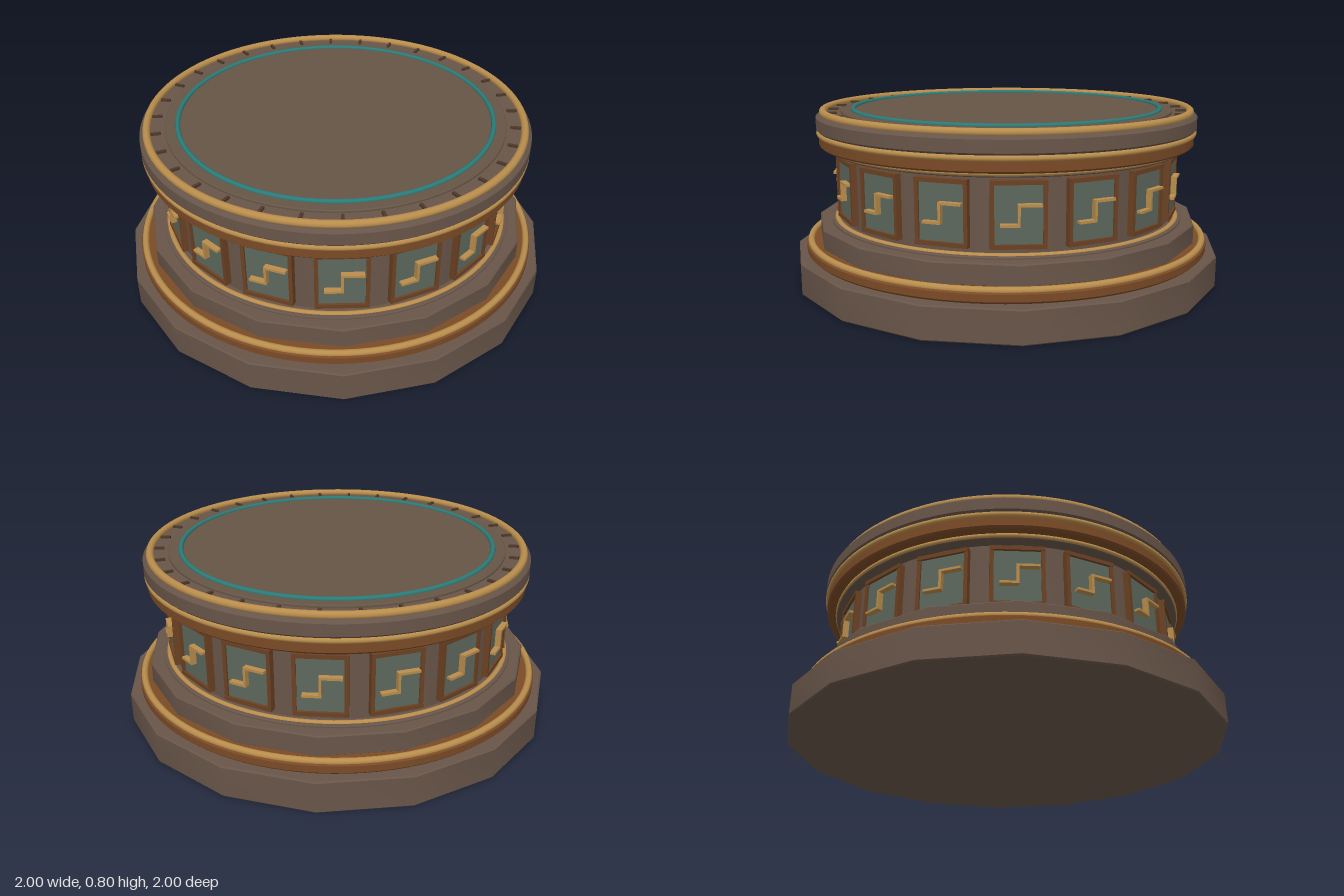
import * as THREE from 'three';
import { toCreasedNormals } from 'three/addons/utils/BufferGeometryUtils.js';

const mat = (name, color) => {
  const m = new THREE.MeshStandardMaterial({ color });
  m.name = name;
  return m;
};

export function createModel() {
  const stone = mat('brown stone', 0x685549);
  const floor = mat('top stone', 0x655546);
  const bronze = mat('bronze', 0x7a4a26);
  const frameBronze = mat('dark bronze', 0x6b4122);
  const gold = mat('gold', 0xb98d4c);
  const green = mat('grey green panel', 0x5d685d);
  const teal = mat('teal', 0x2a7b78);
  const dark = mat('dark notch', 0x4c3829);

  const model = new THREE.Group();
  model.name = 'pedestal';

  const add = (parent, name, geometry, material, x = 0, y = 0, z = 0) => {
    const mesh = new THREE.Mesh(geometry, material);
    mesh.name = name;
    mesh.position.set(x, y, z);
    parent.add(mesh);
    return mesh;
  };

  // Solid disc with small bevels on its upper and lower rim
  const tier = (name, r, y0, y1, sides, material, bevel = 0.006) => {
    const pts = [[0, y0], [r - bevel, y0], [r, y0 + bevel], [r, y1 - bevel], [r - bevel, y1], [0, y1]]
      .map(([x, y]) => new THREE.Vector2(x, y));
    return add(model, name, toCreasedNormals(new THREE.LatheGeometry(pts, sides), 0.5), material);
  };

  // Horizontal round moulding
  const ring = (name, r, y, tube, material) => {
    const g = new THREE.TorusGeometry(r, tube, 10, 96);
    g.rotateX(Math.PI / 2);
    return add(model, name, g, material, 0, y, 0);
  };

  // Stepped base
  tier('basePlinth', 1, 0, 0.145, 16, stone);
  tier('baseBronzeBand', 0.947, 0.145, 0.195, 96, bronze, 0.01);
  ring('baseGoldRing', 0.927, 0.195, 0.015, gold);
  tier('baseStep', 0.893, 0.19, 0.285, 16, stone);
  tier('drumFoot', 0.83, 0.28, 0.295, 64, stone, 0.004);
  ring('drumFootGoldRing', 0.803, 0.292, 0.012, gold);

  // Drum and the mouldings below the cap
  tier('drum', 0.775, 0.285, 0.63, 64, stone);
  tier('capNeck', 0.825, 0.607, 0.635, 64, stone, 0.004);
  ring('capNeckGoldRing', 0.82, 0.622, 0.011, gold);
  tier('capBronzeBand', 0.872, 0.63, 0.685, 96, bronze, 0.008);
  ring('capGoldRing', 0.87, 0.689, 0.013, gold);

  // Cap and its inlaid top
  tier('capSlab', 0.883, 0.695, 0.775, 96, stone, 0.014);
  ring('rimGoldRing', 0.85, 0.783, 0.017, gold);
  tier('topInlay', 0.77, 0.77, 0.787, 96, floor, 0.004);
  ring('topTealRing', 0.713, 0.788, 0.011, teal);

  // Radial notches around the top
  const notchGeo = new THREE.BoxGeometry(0.013, 0.014, 0.046);
  for (let i = 0; i < 32; i++) {
    const a = (i / 32) * Math.PI * 2;
    const notch = add(model, 'topNotch', notchGeo, dark, Math.sin(a) * 0.811, 0.778, Math.cos(a) * 0.811);
    notch.rotation.y = a;
  }

  // Sixteen framed panels, each with a stepped gold key
  const plateGeo = new THREE.BoxGeometry(0.2, 0.25, 0.03);
  const postGeo = new THREE.BoxGeometry(0.017, 0.27, 0.04);
  const railGeo = new THREE.BoxGeometry(0.225, 0.018, 0.044);
  const t = 0.011;
  const keyBars = [ // x, y, width, height
    [-0.036, -0.04, 0.075, t],
    [0, 0.0, t, 0.08 + t],
    [0.045, 0.04, 0.09, t],
  ].map(([x, y, w, h]) => ({ x, y, geo: new THREE.BoxGeometry(w, h, 0.03) }));

  for (let i = 0; i < 16; i++) {
    const a = (i / 16) * Math.PI * 2;
    const panel = new THREE.Group();
    panel.name = 'drumPanel';
    panel.position.set(Math.sin(a) * 0.77, 0.453, Math.cos(a) * 0.77);
    panel.rotation.y = a;
    model.add(panel);
    add(panel, 'panelPlate', plateGeo, green);
    for (const s of [-1, 1]) {
      add(panel, 'framePost', postGeo, frameBronze, s * 0.104, 0, 0.003);
      add(panel, 'frameRail', railGeo, frameBronze, 0, s * 0.128, 0.004);
    }
    for (const b of keyBars) add(panel, 'goldKeyBar', b.geo, gold, b.x, b.y, 0.025);
  }

  return model;
}
